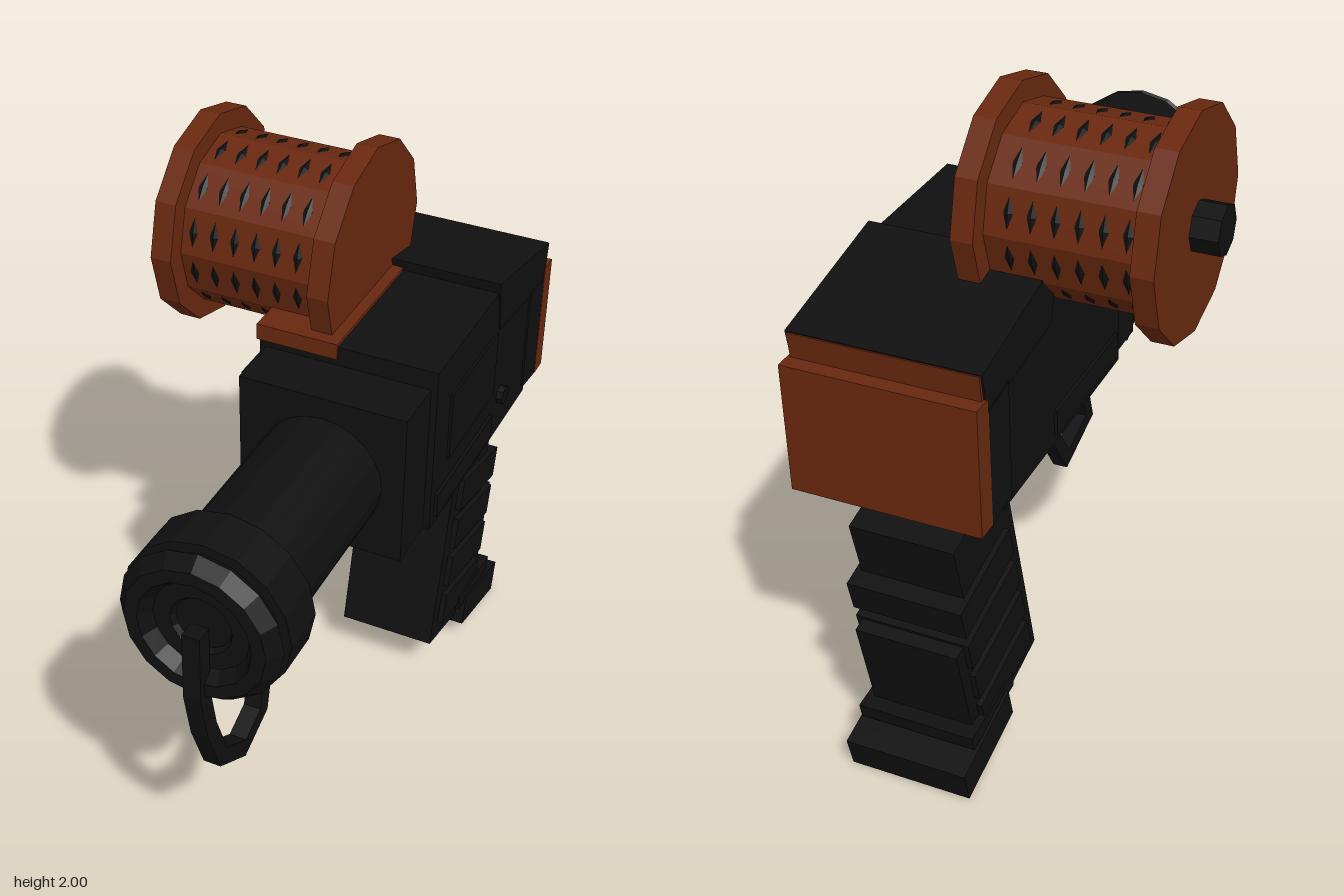
import * as THREE from 'three';

export function createModel() {
  const model = new THREE.Group();
  const black = new THREE.MeshStandardMaterial({ color: 0x101010 });
  const rust = new THREE.MeshStandardMaterial({ color: 0x68280f });
  const CX = 0.205; // centre line of the barrel and grip
  const BORE = 1.225; // height of the barrel axis

  function add(name, geometry, material = black) {
    const flat = geometry.index ? geometry.toNonIndexed() : geometry;
    flat.computeVertexNormals();
    const mesh = new THREE.Mesh(flat, material);
    mesh.name = name;
    model.add(mesh);
    return mesh;
  }

  // Side profile given as [z, y] points, spanning x0 to x1
  function slab(name, points, x0, x1, material) {
    const shape = new THREE.Shape(points.map(([z, y]) => new THREE.Vector2(-z, y)));
    const geometry = new THREE.ExtrudeGeometry(shape, { depth: x1 - x0, bevelEnabled: false });
    geometry.rotateY(Math.PI / 2).translate(x0, 0, 0);
    return add(name, geometry, material);
  }

  function block(name, x0, x1, y0, y1, z0, z1, material) {
    const geometry = new THREE.BoxGeometry(x1 - x0, y1 - y0, z1 - z0);
    geometry.translate((x0 + x1) / 2, (y0 + y1) / 2, (z0 + z1) / 2);
    return add(name, geometry, material);
  }

  // Angular wire through [z, y] points at a given x
  function wire(name, points, x, radius) {
    const path = new THREE.CurvePath();
    const p = points.map(([z, y]) => new THREE.Vector3(x, y, z));
    for (let i = 1; i < p.length; i++) path.add(new THREE.LineCurve3(p[i - 1], p[i]));
    // Rings of four corners, each placed on the mitre of the path
    const pos = [], idx = [];
    p.forEach((c, i) => {
      const a = p[Math.max(i - 1, 0)], b = p[Math.min(i + 1, p.length - 1)];
      const d1 = c.clone().sub(a).normalize(), d2 = b.clone().sub(c).normalize();
      const t = d1.clone().add(d2).normalize();
      const mitre = radius / Math.max(0.6, i && i < p.length - 1 ? t.dot(d1) : 1);
      const n = new THREE.Vector3(0, t.z, -t.y).multiplyScalar(mitre);
      for (const [u, v] of [[1, 1], [1, -1], [-1, -1], [-1, 1]])
        pos.push(c.x + u * radius, c.y + v * n.y, c.z + v * n.z);
      if (i) for (let k = 0; k < 4; k++) {
        const q = (i - 1) * 4 + k, r = (i - 1) * 4 + (k + 1) % 4;
        idx.push(q, r, q + 4, r, r + 4, q + 4);
      }
    });
    const e = (p.length - 1) * 4;
    idx.push(0, 2, 1, 0, 3, 2, e, e + 1, e + 2, e, e + 2, e + 3);
    const geometry = new THREE.BufferGeometry();
    geometry.setAttribute('position', new THREE.Float32BufferAttribute(pos, 3));
    geometry.setIndex(idx);
    const mesh = add(name, geometry);
    mesh.material = wireMaterial;
    return mesh;
  }
  const wireMaterial = black;
  black.side = THREE.DoubleSide;

  // Receiver
  slab('receiver', [[0.01, 0.99], [0.01, 1.54], [-0.46, 1.54], [-0.88, 1.45], [-0.89, 1.005],
    [-0.8, 1.005], [-0.8, 0.99]], -0.07, 0.48);
  block('receiverFront', -0.05, 0.46, 0.99, 1.48, 0, 0.18);
  slab('rearTopCover', [[-0.455, 1.575], [-0.912, 1.48], [-0.89, 1.35], [-0.49, 1.4]], -0.077, 0.485);
  slab('rearSleeve', [[-0.77, 1.02], [-0.77, 1.38], [-0.89, 1.36], [-0.89, 1.005]], -0.08, 0.486);
  block('lowerRail', -0.08, 0.49, 1.02, 1.1, -0.47, -0.02);
  block('sidePanel', 0.47, 0.488, 1.18, 1.4, -0.47, -0.1);
  block('sideLug', -0.095, -0.05, 1.3, 1.42, -0.12, 0.08);
  add('sideButton', new THREE.CylinderGeometry(0.03, 0.03, 0.03, 8)
    .rotateZ(Math.PI / 2).translate(0.485, 1.13, -0.55));

  // Butt plate
  block('buttPlate', -0.08, 0.487, 1.005, 1.4, -0.955, -0.89, rust);
  slab('buttPlateTop', [[-0.88, 1.47], [-0.918, 1.478], [-0.905, 1.36], [-0.88, 1.36]], -0.072, 0.478, rust);

  // Barrel, collar and hollow muzzle
  function turned(name, profile, sides) {
    const geometry = new THREE.LatheGeometry(profile.map(([r, z]) => new THREE.Vector2(r, z)), sides);
    geometry.rotateX(Math.PI / 2).translate(CX, BORE, 0);
    return add(name, geometry);
  }
  turned('barrel', [[0.188, 0.15], [0.188, 0.75]], 24);
  turned('collar', [[0.18, 0.73], [0.243, 0.73], [0.243, 0.87], [0.15, 0.87]], 16);
  turned('muzzle', [[0.21, 0.865], [0.237, 0.9], [0.205, 0.94], [0.165, 0.94], [0.14, 0.9],
    [0.09, 0.9], [0.08, 0.885], [0, 0.885]], 16);

  // Hook hanging from the muzzle
  wire('muzzleHook', [[0.93, 1.23], [0.935, 1.02], [0.905, 0.87], [0.845, 0.71], [0.715, 0.625],
    [0.6, 0.675], [0.57, 0.8], [0.64, 0.91]], CX, 0.026);

  // Trigger and its guard loop
  wire('triggerGuard', [[-0.13, 1.01], [-0.075, 0.825], [-0.24, 0.77], [-0.395, 1.01]], 0.012, 0.022);
  slab('trigger', [[-0.295, 0.965], [-0.18, 0.75], [-0.245, 0.705], [-0.36, 0.925]], 0.16, 0.25);

  // Slanted grip with side pads and foot
  slab('grip', [[-0.565, 0.935], [-0.885, 0.865], [-0.805, 0.53], [-0.9, 0.505], [-0.815, 0.12],
    [-0.63, 0.105], [-0.39, 0.16]], 0.045, 0.365);
  for (let i = 0; i < 4; i++) {
    const y = 0.21 + i * 0.14, slide = -0.235 * (y - 0.16); // follows the slant
    slab('gripPad', [[-0.44 + slide, y], [-0.76 + slide, y - 0.07], [-0.785 + slide, y + 0.035],
      [-0.467 + slide, y + 0.105]], 0.027, 0.383);
  }
  slab('gripFoot', [[-0.625, 0.075], [-0.93, 0.003], [-0.955, 0.11], [-0.65, 0.182]], 0.012, 0.397);
  slab('gripBand', [[-0.6, 0.21], [-0.88, 0.19], [-0.87, 0.14], [-0.6, 0.16]], 0.02, 0.39);

  // Spool lying across the top
  function drum(name, r, x0, x1, sides, material) {
    const geometry = new THREE.CylinderGeometry(r, r, x1 - x0, sides);
    geometry.rotateZ(Math.PI / 2).translate((x0 + x1) / 2, 1.677, -0.315);
    return add(name, geometry, material);
  }
  drum('spoolCore', 0.262, -0.37, 0.09, 12, rust);
  drum('spoolFlangeOuter', 0.323, -0.42, -0.355, 12, rust);
  drum('spoolFlangeInner', 0.323, 0.075, 0.14, 12, rust);
  drum('spoolKnob', 0.073, -0.5, -0.41, 8, black);
  // Dark windings showing through on each face of the core
  for (let i = 0; i < 6; i++)
    add('winding', new THREE.TorusGeometry(0.241, 0.018, 8, 24)
      .rotateY(Math.PI / 2).translate(-0.32 + i * 0.066, 1.677, -0.315));

  // Saddle under the spool
  block('spoolSaddle', -0.078, 0.175, 1.5, 1.55, -0.46, 0.014, rust);

  return model;
}
